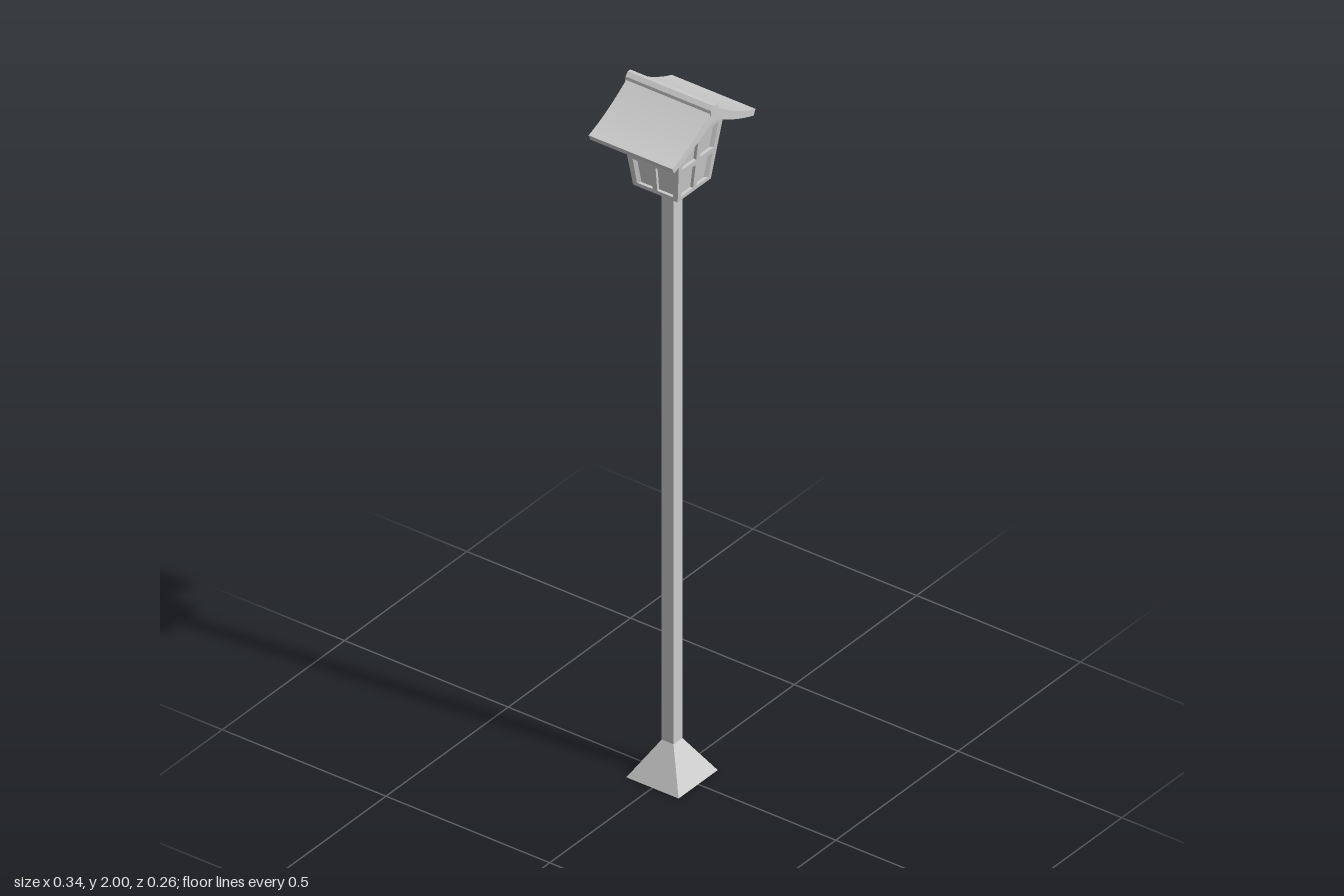
import * as THREE from 'three';
import { toCreasedNormals } from 'three/addons/utils/BufferGeometryUtils.js';

const material = new THREE.MeshStandardMaterial({ color: 0xcccccc, flatShading: true });
const smooth = new THREE.MeshStandardMaterial({ color: 0xcccccc });

// Lantern half width at a given height (walls lean outwards going up)
const Y0 = 1.727, Y1 = 1.908;
const halfWidth = (y) => 0.068 + (0.022 * (y - Y0)) / (Y1 - Y0);

function add(group, name, geometry, mat = material) {
  const mesh = new THREE.Mesh(geometry, mat);
  mesh.name = name;
  group.add(mesh);
  return mesh;
}

// Square frustum between two heights, given half widths
function frustum(bottom, top, y0, y1) {
  const g = new THREE.CylinderGeometry(top * Math.SQRT2, bottom * Math.SQRT2, y1 - y0, 4);
  return g.rotateY(Math.PI / 4).translate(0, (y0 + y1) / 2, 0);
}

function quad(Type, u0, u1, y0, y1) {
  const p = new Type();
  p.moveTo(u0, y0);
  p.lineTo(u1, y0);
  p.lineTo(u1, y1);
  p.lineTo(u0, y1);
  p.closePath();
  return p;
}

// Window frame with four openings, bent onto the leaning wall with mitred corners
function windowFrame() {
  const shape = quad(THREE.Shape, -1, 1, Y0, Y1);
  for (const [u0, u1] of [[-0.8, -0.1], [0.1, 0.8]]) {
    shape.holes.push(quad(THREE.Path, u0, u1, 1.738, 1.809));
    shape.holes.push(quad(THREE.Path, u0, u1, 1.825, 1.897));
  }
  const depth = 0.01;
  const g = new THREE.ExtrudeGeometry(shape, { depth, bevelEnabled: false });
  const p = g.attributes.position;
  for (let i = 0; i < p.count; i++) {
    const y = p.getY(i);
    const h = halfWidth(y) - (depth - p.getZ(i));
    p.setXYZ(i, p.getX(i) * h, y, h);
  }
  g.computeVertexNormals();
  return g;
}

function extrudeCentred(shape, depth) {
  return new THREE.ExtrudeGeometry(shape, { depth, bevelEnabled: false, curveSegments: 8 })
    .translate(0, 0, -depth / 2);
}

export function createModel() {
  const model = new THREE.Group();
  model.name = 'lampPost';

  // Foot and square pole
  add(model, 'foot', frustum(0.08, 0.018, 0, 0.102));
  add(model, 'pole', frustum(0.018, 0.018, 0.1, 1.72));

  // Lantern: tapered underside, recessed panes, four window frames
  const lantern = new THREE.Group();
  lantern.name = 'lantern';
  model.add(lantern);
  add(lantern, 'underside', frustum(0.052, 0.068, 1.714, Y0));
  add(lantern, 'panes', frustum(halfWidth(Y0) - 0.009, halfWidth(Y1) - 0.009, Y0, Y1));
  const frame = windowFrame();
  for (let i = 0; i < 4; i++) {
    add(lantern, 'windowFrame', frame).rotation.y = (i * Math.PI) / 2;
  }

  // Gable filling the space beneath the roof
  const gable = new THREE.Shape([
    new THREE.Vector2(-0.09, Y1), new THREE.Vector2(0.09, Y1),
    new THREE.Vector2(0.087, 1.916), new THREE.Vector2(0, 1.962), new THREE.Vector2(-0.087, 1.916),
  ]);
  add(lantern, 'gable', extrudeCentred(gable, 0.18));

  // Swept roof with flared eaves
  const roof = new THREE.Shape();
  roof.moveTo(0.163, 1.884);
  roof.lineTo(0.17, 1.9);
  roof.quadraticCurveTo(0.095, 1.924, 0, 1.993);
  roof.quadraticCurveTo(-0.095, 1.924, -0.17, 1.9);
  roof.lineTo(-0.163, 1.884);
  roof.quadraticCurveTo(-0.085, 1.908, 0, 1.958);
  roof.quadraticCurveTo(0.085, 1.908, 0.163, 1.884);
  add(model, 'roof', toCreasedNormals(extrudeCentred(roof, 0.256), 0.45), smooth);

  // Ridge cap
  const cap = new THREE.Shape([
    new THREE.Vector2(-0.017, 1.976), new THREE.Vector2(0.017, 1.976),
    new THREE.Vector2(0.015, 1.99), new THREE.Vector2(0.005, 2),
    new THREE.Vector2(-0.005, 2), new THREE.Vector2(-0.015, 1.99),
  ]);
  add(model, 'ridgeCap', extrudeCentred(cap, 0.262));

  return model;
}
